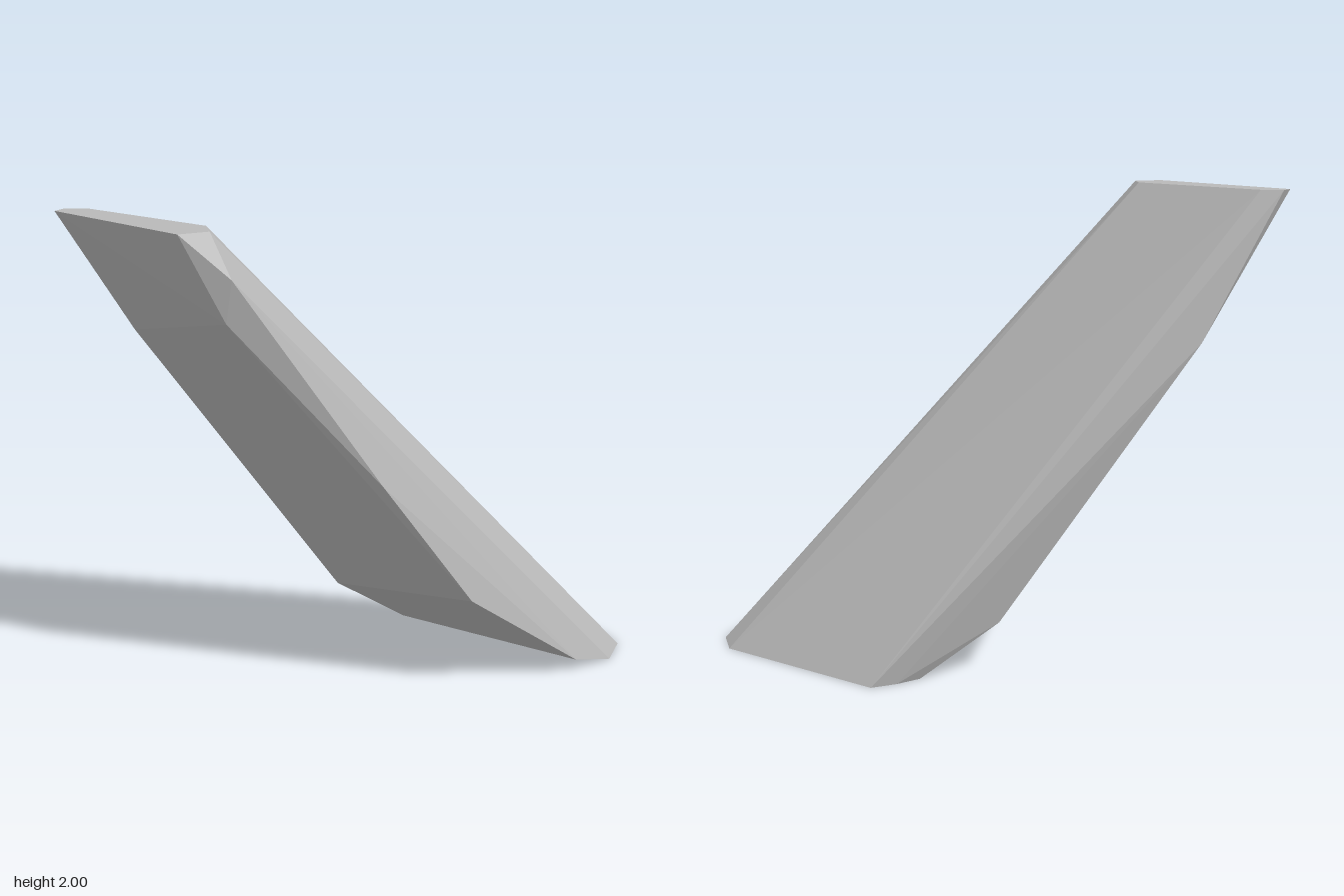
import * as THREE from 'three';
import { ConvexGeometry } from 'three/addons/geometries/ConvexGeometry.js';

// A leaning, faceted stone slab: the convex skin around a few corner loops.
export function createModel() {
  const stone = new THREE.MeshStandardMaterial({ color: 0xb8b8b8 });
  stone.name = 'stone grey';

  // flat cut top, as x, z at y = 2
  const top = [[-1, 0.12], [-0.87, 0.14], [-0.79, 0.01], [-0.85, -0.72], [-0.92, -0.78], [-0.99, -0.74]];
  // flat cut foot, as x, z at y = 0
  const foot = [[1, 0.55], [0.96, 0.69], [0.8, 0.77], [0.68, 0.62], [0.46, -0.2], [0.57, -0.2], [0.68, -0.18]];
  // bevel corners down the front edge
  const frontEdge = [[-0.85, 1.83, 0.24], [-0.85, 1.66, 0.2], [-0.32, 0.98, 0.49],
    [0.05, 0.44, 0.63], [0.17, 0.33, 0.52], [0.58, 0.06, 0.76]];
  // bevel corners down the back edge of the underside
  const backEdge = [[-0.73, 1.5, -0.59], [-0.65, 1.49, -0.69], [-0.6, 1.39, -0.68], [0.14, 0.22, -0.31]];

  const corners = [
    ...top.map(([x, z]) => new THREE.Vector3(x, 2, z)),
    ...foot.map(([x, z]) => new THREE.Vector3(x, 0, z)),
    ...[...frontEdge, ...backEdge].map((p) => new THREE.Vector3(...p)),
  ];

  const slab = new THREE.Mesh(new ConvexGeometry(corners), stone);
  slab.name = 'stoneSlab';

  const group = new THREE.Group();
  group.name = 'leaningStone';
  group.add(slab);
  return group;
}
